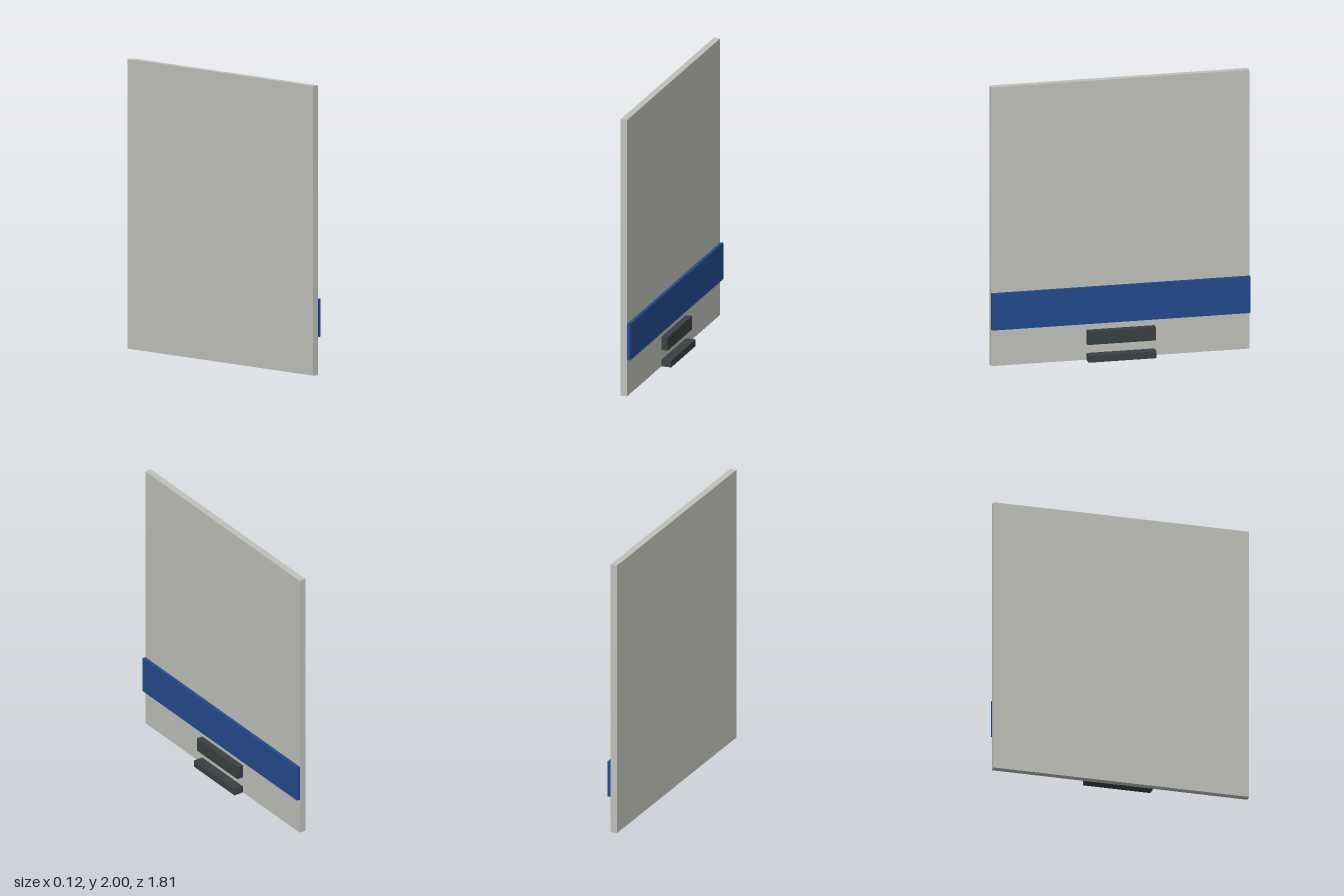
import * as THREE from 'three';

const material = (name, color) => {
  const m = new THREE.MeshStandardMaterial({ color });
  m.name = name;
  return m;
};

export function createModel() {
  const group = new THREE.Group();
  group.name = 'wallPanel';
  const grey = material('pale grey', 0xc0c0bb);
  const blue = material('blue', 0x224a8e);
  const dark = material('dark grey', 0x3a4042);

  // Box given by its x and y ranges and its length along z
  const slab = (name, [x0, x1], [y0, y1], length, mat) => {
    const mesh = new THREE.Mesh(new THREE.BoxGeometry(x1 - x0, y1 - y0, length), mat);
    mesh.position.set((x0 + x1) / 2, (y0 + y1) / 2, 0);
    mesh.name = name;
    group.add(mesh);
  };

  const face = -0.012; // outer face of the panel
  slab('panel', [-0.059, face], [0, 2], 1.81, grey);
  slab('stripe', [face, 0.011], [0.262, 0.524], 1.81, blue);
  // Two ledges below the stripe
  slab('upperLedge', [face, 0.034], [0.119, 0.215], 0.476, dark);
  slab('lowerLedge', [face, 0.059], [0, 0.048], 0.476, dark);

  return group;
}
